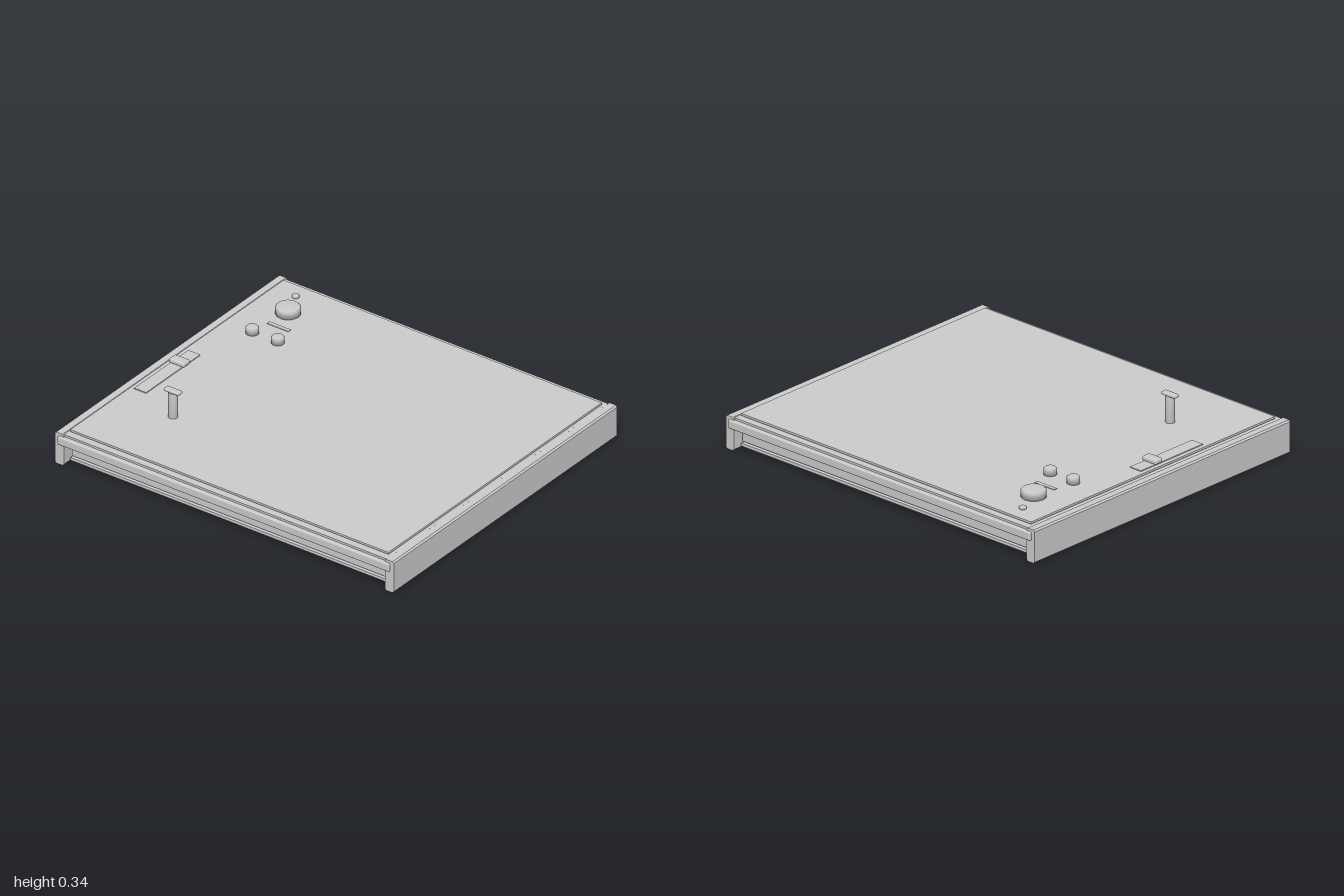
import * as THREE from 'three';
import { RoundedBoxGeometry } from 'three/addons/geometries/RoundedBoxGeometry.js';

export function createModel() {
  const model = new THREE.Group();
  const grey = new THREE.MeshStandardMaterial({ color: 0xcccccc });
  grey.name = 'lightGrey';

  const add = (name, geometry, x = 0, y = 0, z = 0) => {
    const mesh = new THREE.Mesh(geometry, grey);
    mesh.name = name;
    mesh.position.set(x, y, z);
    model.add(mesh);
    return mesh;
  };
  // box given by its lower and upper height
  const slab = (name, w, y0, y1, d, x = 0, z = 0) =>
    add(name, new THREE.BoxGeometry(w, y1 - y0, d), x, (y0 + y1) / 2, z);
  // softly shaded turned part with a small bevel at its upper rim
  const turned = (name, r, y0, y1, x, z, bevel = 0.008) => {
    const points = [[0, y0], [r, y0], [r, y1 - bevel], [r - bevel, y1], [0, y1]]
      .map(([a, b]) => new THREE.Vector2(a, b));
    return add(name, new THREE.LatheGeometry(points, 32), x, 0, z);
  };
  // chamfered plate in the x-y plane, extruded along z
  const chamfered = (name, w, h, d, c, x, y, z) => {
    const a = w / 2, b = h / 2;
    const shape = new THREE.Shape([
      [-a + c, -b], [a - c, -b], [a, -b + c], [a, b - c],
      [a - c, b], [-a + c, b], [-a, b - c], [-a, -b + c],
    ].map(([u, v]) => new THREE.Vector2(u, v)));
    const geometry = new THREE.ExtrudeGeometry(shape, { depth: d, bevelEnabled: false });
    geometry.translate(0, 0, -d / 2);
    return add(name, geometry, x, y, z);
  };

  // body in layers, leaving a recess along front and back
  slab('bottomPlate', 1.87, 0.025, 0.04, 1.70);
  slab('bottomGroove', 1.84, 0.04, 0.05, 1.66);
  slab('core', 1.86, 0.05, 0.112, 1.69);
  slab('upperStep', 1.90, 0.112, 0.122, 1.73);
  slab('upperBody', 1.92, 0.122, 0.176, 1.76);

  // top panel above a shadow groove
  slab('panelGroove', 1.86, 0.176, 0.181, 1.68);
  slab('topPanel', 1.875, 0.181, 0.192, 1.695);

  // long sides, and bars crossing their ends
  for (const s of [-1, 1]) {
    chamfered('sidePanel', 0.053, 0.172, 1.775, 0.008, s * 0.9725, 0.093, 0);
    add('edgeBar', new RoundedBoxGeometry(1.955, 0.045, 0.04, 2, 0.008), 0, 0.1425, s * 0.88);
  }

  // feet
  for (const x of [-0.83, 0.83]) {
    for (const z of [-0.73, 0.73]) {
      turned('foot', 0.062, -0.027, 0, x, z).rotation.x = Math.PI;
    }
  }

  // controls in the rear corner
  turned('smallButton', 0.018, 0.19, 0.205, -0.80, -0.757, 0.004);
  turned('largeKnob', 0.062, 0.19, 0.234, -0.74, -0.617);
  for (const x of [-0.77, -0.62]) turned('smallKnob', 0.032, 0.19, 0.229, x, -0.373, 0.006);
  slab('indicatorStrip', 0.125, 0.191, 0.196, 0.02, -0.70, -0.49);

  // slider
  slab('sliderTrack', 0.07, 0.191, 0.197, 0.43, -0.88, 0.155);
  add('sliderCap', new RoundedBoxGeometry(0.09, 0.026, 0.052, 3, 0.01), -0.878, 0.208, 0.06);

  // upright post with a flat crosspiece
  turned('post', 0.023, 0.19, 0.33, -0.617, 0.463, 0.003);
  add('postCrosspiece', new RoundedBoxGeometry(0.09, 0.016, 0.036, 3, 0.007), -0.617, 0.335, 0.463);

  return model;
}
